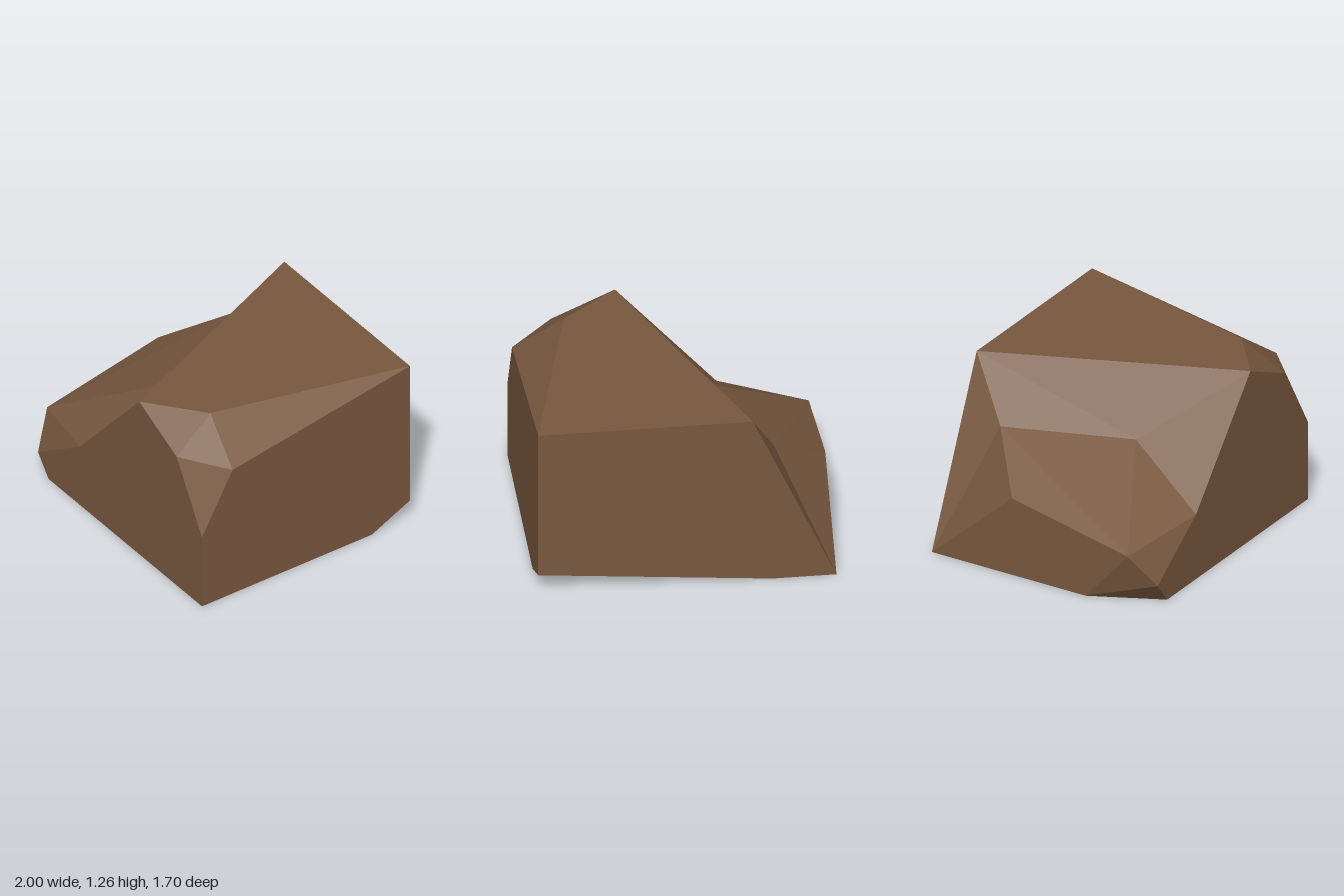
import * as THREE from 'three';

// Corners of the chipped rock block, one letter each
const corners = {
  // flat crown
  A: [-0.44, 1.26, -0.85], B: [1, 1.26, -0.85], C: [0.66, 1.26, 0.54], D: [0.28, 1.26, 0.85],
  // chipped front left-hand shoulder
  E: [1, 0.57, 0.85], F: [1, 1.02, 0.6], J: [0.71, 1.06, 0.85],
  // sloping low side
  K: [-0.4, 0.48, 0.85], L: [-1, 0.38, 0.69], S: [-1, 0.57, -0.22],
  R: [-0.62, 0.855, -0.55], U: [-0.26, 0.83, 0.29],
  // base and its cut corners
  M: [-0.88, 0.15, 0.85], N: [-0.76, 0, 0.85], P: [-1, 0, 0.36], Q: [-1, 0, -0.85],
  T: [-0.57, 0, -0.85], G: [1, 0.15, -0.85], H: [1, 0, -0.54], I: [1, 0, 0.85],
};

// Planar facets grouped by part, each a ring of corners
const parts = {
  crown: ['ADCB'],
  frontFace: ['IEJDKMN'],
  leftFace: ['IHGBFE'],
  backFace: ['BGTQA'],
  rightFace: ['QPLS'],
  base: ['QTHINP'],
  frontShoulderChips: ['DJC', 'CJF', 'JEF', 'CFB'],
  upperSlope: ['AUD', 'ARU', 'DUK'],
  lowerSlope: ['RSL', 'RLU', 'ULK'],
  rearChips: ['QRA', 'QSR'],
  baseChips: ['LKM', 'LMP', 'PMN', 'GHT'],
};

const centre = new THREE.Vector3(0.1, 0.5, 0);

// Fans each ring into triangles, turning every one outwards
function facetGeometry(rings) {
  const points = [];
  for (const ring of rings) {
    const v = [...ring].map((k) => new THREE.Vector3(...corners[k]));
    for (let i = 1; i < v.length - 1; i++) {
      const normal = new THREE.Triangle(v[0], v[i], v[i + 1]).getNormal(new THREE.Vector3());
      const outward = normal.dot(v[0].clone().sub(centre)) > 0;
      points.push(v[0], ...(outward ? [v[i], v[i + 1]] : [v[i + 1], v[i]]));
    }
  }
  const geometry = new THREE.BufferGeometry().setFromPoints(points);
  geometry.computeVertexNormals();
  return geometry;
}

export function createModel() {
  const group = new THREE.Group();
  group.name = 'rock';
  const stone = new THREE.MeshStandardMaterial({ color: 0x78583f });
  stone.name = 'brown stone';
  stone.flatShading = true;
  for (const [name, rings] of Object.entries(parts)) {
    const mesh = new THREE.Mesh(facetGeometry(rings), stone);
    mesh.name = name;
    group.add(mesh);
  }
  return group;
}
